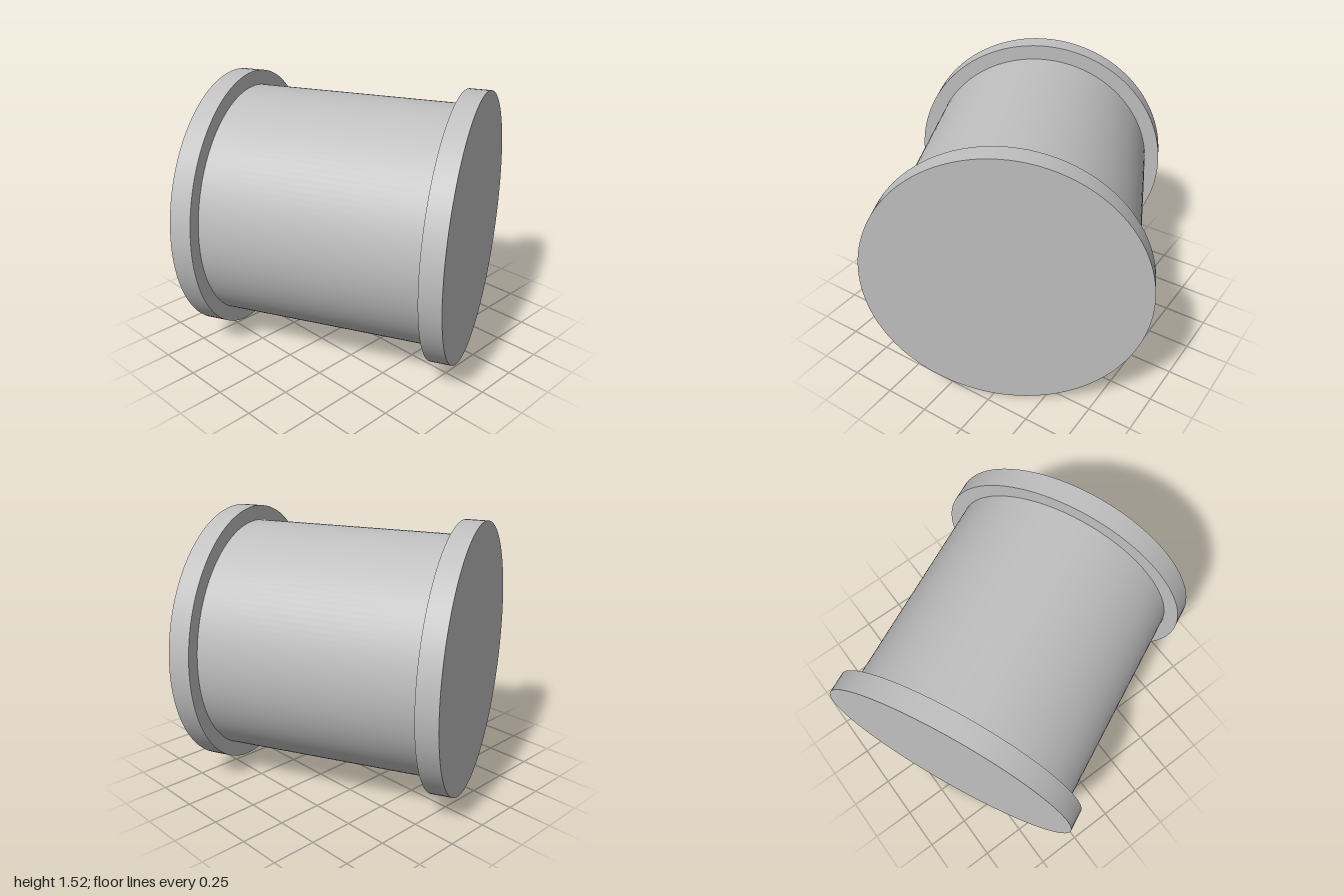
import * as THREE from 'three';

export function createModel() {
  const grey = new THREE.MeshStandardMaterial({ color: 0xc0c0c0 });
  grey.name = 'plain grey';

  const flangeRadius = 0.76, drumRadius = 0.676;
  const halfLength = 0.735, flangeThickness = 0.12;
  const drumLength = 2 * (halfLength - flangeThickness);

  const model = new THREE.Group();
  model.name = 'spool';

  // Cylinder lying along z, centred at the given z
  const addDisc = (name, radius, length, z, open) => {
    const geometry = new THREE.CylinderGeometry(radius, radius, length, 128, 1, open);
    geometry.rotateX(Math.PI / 2);
    const mesh = new THREE.Mesh(geometry, grey);
    mesh.name = name;
    mesh.position.z = z;
    spool.add(mesh);
  };

  // The whole spool is turned about the vertical axis
  const spool = new THREE.Group();
  spool.name = 'spoolBody';
  spool.position.y = flangeRadius;
  spool.rotation.y = 0.435;
  model.add(spool);

  // Drum between two wider end flanges
  addDisc('drum', drumRadius, drumLength, 0, true);
  const flangeZ = halfLength - flangeThickness / 2;
  addDisc('frontFlange', flangeRadius, flangeThickness, flangeZ, false);
  addDisc('backFlange', flangeRadius, flangeThickness, -flangeZ, false);

  return model;
}
